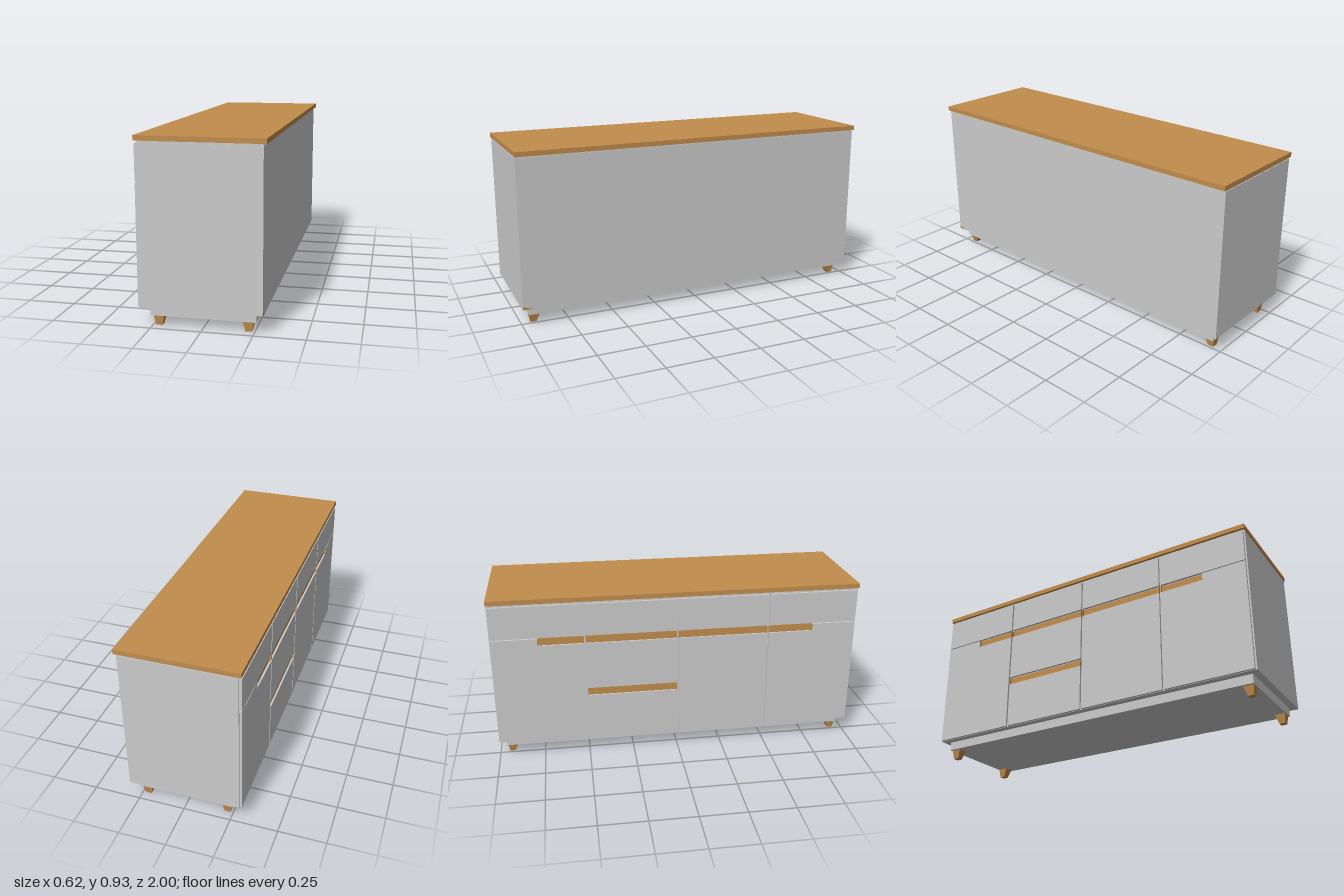
import * as THREE from 'three';

export function createModel() {
  const paint = new THREE.MeshStandardMaterial({ color: 0xcbcbcb });
  paint.name = 'pale grey paint';
  const wood = new THREE.MeshStandardMaterial({ color: 0xc28d4d });
  wood.name = 'warm wood';

  const model = new THREE.Group();
  model.name = 'sideboard';

  function add(name, geometry, material) {
    const mesh = new THREE.Mesh(geometry, material);
    mesh.name = name;
    model.add(mesh);
    return mesh;
  }
  // Box given by its limits on each axis
  function box(name, material, x0, x1, y0, y1, z0, z1) {
    const mesh = add(name, new THREE.BoxGeometry(x1 - x0, y1 - y0, z1 - z0), material);
    mesh.position.set((x0 + x1) / 2, (y0 + y1) / 2, (z0 + z1) / 2);
    return mesh;
  }

  // Worktop, shadow strip, carcass and plinth
  box('worktop', wood, -0.312, 0.312, 0.901, 0.926, -1, 1);
  box('topRail', paint, -0.298, 0.294, 0.892, 0.901, -0.995, 0.995);
  box('carcass', paint, -0.298, 0.297, 0.098, 0.893, -0.998, 0.998);
  box('plinth', paint, -0.26, 0.26, 0.05, 0.098, -0.96, 0.96);

  // Drawer and door fronts on the -x side, outlined in (z, y)
  const FACE = -0.298, THICK = 0.013, SLOT = 0.04;
  function frontPanel(name, points) {
    const shape = new THREE.Shape(points.map(([z, y]) => new THREE.Vector2(z, y)));
    const mesh = add(name, new THREE.ExtrudeGeometry(shape, { depth: THICK, bevelEnabled: false }), paint);
    mesh.rotation.y = -Math.PI / 2;
    mesh.position.x = FACE;
  }
  const rect = (z0, z1, y0, y1) => [[z0, y0], [z1, y0], [z1, y1], [z0, y1]];

  // Wooden lining of a finger slot: back plate and two ends
  function slotLining(z0, z1, top) {
    box('slotBack', wood, FACE - 0.003, FACE, top - SLOT, top, z0, z1);
    for (const z of [z0, z1 - 0.003]) {
      box('slotEnd', wood, FACE - THICK + 0.001, FACE, top - SLOT, top, z, z + 0.003);
    }
  }

  const bottom = 0.1, top = 0.888, seam = 0.705, lowSeam = 0.395;
  for (let i = 0; i < 4; i++) {
    const start = -1 + i * 0.5;
    const z0 = start + (i === 0 ? 0.01 : 0.005);
    const z1 = start + (i === 3 ? 0.49 : 0.495);
    const mid = start + 0.25;
    const cut = seam - SLOT;
    frontPanel('topDrawer', rect(z0, z1, seam + 0.005, top));
    if (i === 0) {
      frontPanel('door', [[z0, bottom], [z1, bottom], [z1, cut], [mid, cut], [mid, seam], [z0, seam]]);
      slotLining(mid, z1, seam);
    } else if (i === 3) {
      frontPanel('door', [[z0, bottom], [z1, bottom], [z1, seam], [mid, seam], [mid, cut], [z0, cut]]);
      slotLining(z0, mid, seam);
    } else {
      slotLining(z0, z1, seam);
      if (i === 1) {
        frontPanel('middleDrawer', rect(z0, z1, lowSeam + 0.005, cut));
        frontPanel('bottomDrawer', rect(z0, z1, bottom, lowSeam - SLOT));
        slotLining(z0, z1, lowSeam);
      } else {
        frontPanel('door', rect(z0, z1, bottom, cut));
      }
    }
  }

  // Small wooden wedge at the lower corner of the back panel
  const wedge = new THREE.Shape([
    new THREE.Vector2(-0.998, 0.098), new THREE.Vector2(-0.945, 0.098), new THREE.Vector2(-0.998, 0.115),
  ]);
  const chip = add('cornerWedge', new THREE.ExtrudeGeometry(wedge, { depth: 0.002, bevelEnabled: false }), wood);
  chip.rotation.y = Math.PI / 2;
  chip.position.x = 0.296;

  // Square tapered legs, leaning slightly towards the ends
  for (const sx of [-1, 1]) {
    for (const sz of [-1, 1]) {
      const g = new THREE.BoxGeometry(0.052, 0.05, 0.056);
      const p = g.attributes.position;
      for (let i = 0; i < p.count; i++) {
        if (p.getY(i) < 0) p.setXYZ(i, p.getX(i) * 0.62, p.getY(i), p.getZ(i) * 0.56 + sz * 0.006);
      }
      g.computeVertexNormals();
      add('leg', g, wood).position.set(sx * 0.22, 0.025, sz * 0.927);
    }
  }
  return model;
}
